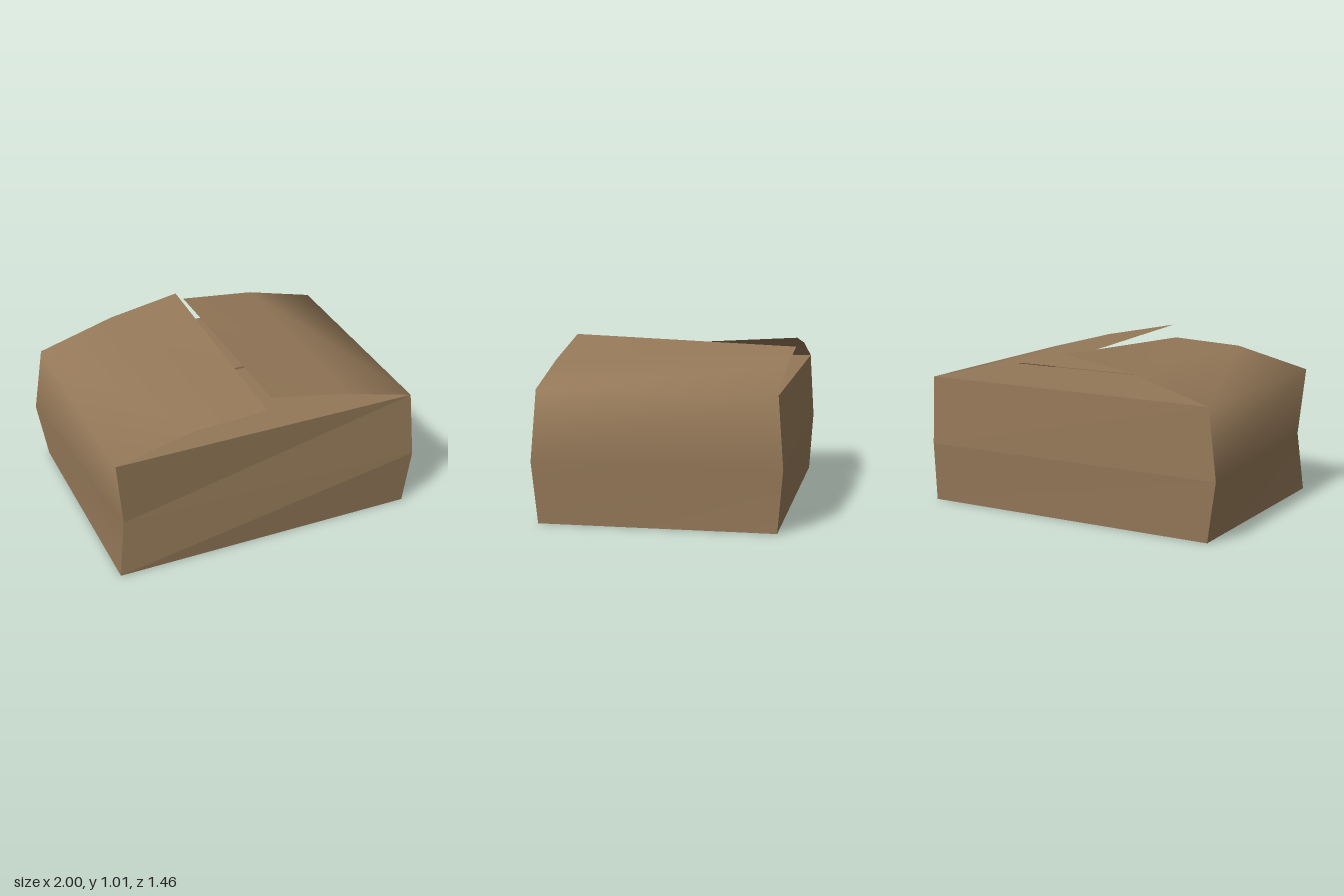
import * as THREE from 'three';

// Surface through rows of [left, right] points, seen from outside and running upward.
function strip(name, rows, material, smooth) {
  let geometry = new THREE.BufferGeometry();
  const index = [];
  for (let i = 0; i < rows.length - 1; i++) {
    const a = i * 2;
    index.push(a, a + 1, a + 3, a, a + 3, a + 2);
  }
  geometry.setAttribute('position', new THREE.Float32BufferAttribute(rows.flat(2), 3));
  geometry.setIndex(index);
  if (!smooth) geometry = geometry.toNonIndexed();
  geometry.computeVertexNormals();
  const mesh = new THREE.Mesh(geometry, material);
  mesh.name = name;
  return mesh;
}

export function createModel() {
  const group = new THREE.Group();
  group.name = 'cardboardBox';
  const cardboard = new THREE.MeshStandardMaterial({ color: 0x947858, side: THREE.DoubleSide });
  cardboard.name = 'cardboard brown';

  // Corner order: front left-hand, front right-hand, back right-hand, back left-hand
  const ring = (y) => [[-0.94, y, 0.7], [0.97, y, 0.7], [0.97, y, -0.7], [-0.94, y, -0.7]];
  const base = ring(0);
  const top = ring(0.79);
  // Waist corners are pushed unevenly, so the walls look dented
  const waist = [[-0.9, 0.37, 0.68], [1, 0.37, 0.73], [0.965, 0.37, -0.73], [-1, 0.37, -0.72]];
  const wall = (i, j) => [base, waist, top].map((r) => [r[i], r[j]]);

  group.add(
    strip('bottom', [[base[3], base[2]], [base[0], base[1]]], cardboard, false),
    strip('frontWall', wall(0, 1), cardboard, false),
    strip('backWall', wall(2, 3), cardboard, false),

    // Inner flaps lie flat and almost meet in the middle
    strip('frontInnerFlap', [[top[0], top[1]], [[-0.94, 0.787, 0], [0.97, 0.787, 0]]], cardboard, false),
    strip('backInnerFlap', [[top[2], top[3]], [[0.97, 0.787, -0.02], [-0.94, 0.787, -0.02]]], cardboard, false),

    // Side walls bend softly into the lifted, twisted outer flaps
    strip('leftWallAndFlap', [
      ...wall(1, 2),
      [[0.53, 0.908, 0.7], [0.53, 0.905, -0.7]],
      [[0.025, 1.01, 0.7], [0.048, 0.96, -0.7]],
    ], cardboard, true),
    strip('rightWallAndFlap', [
      ...wall(3, 0),
      [[-0.46, 0.93, -0.7], [-0.46, 0.905, 0.7]],
      [[-0.005, 1.01, -0.7], [0.005, 0.925, 0.7]],
    ], cardboard, true),
  );
  return group;
}
